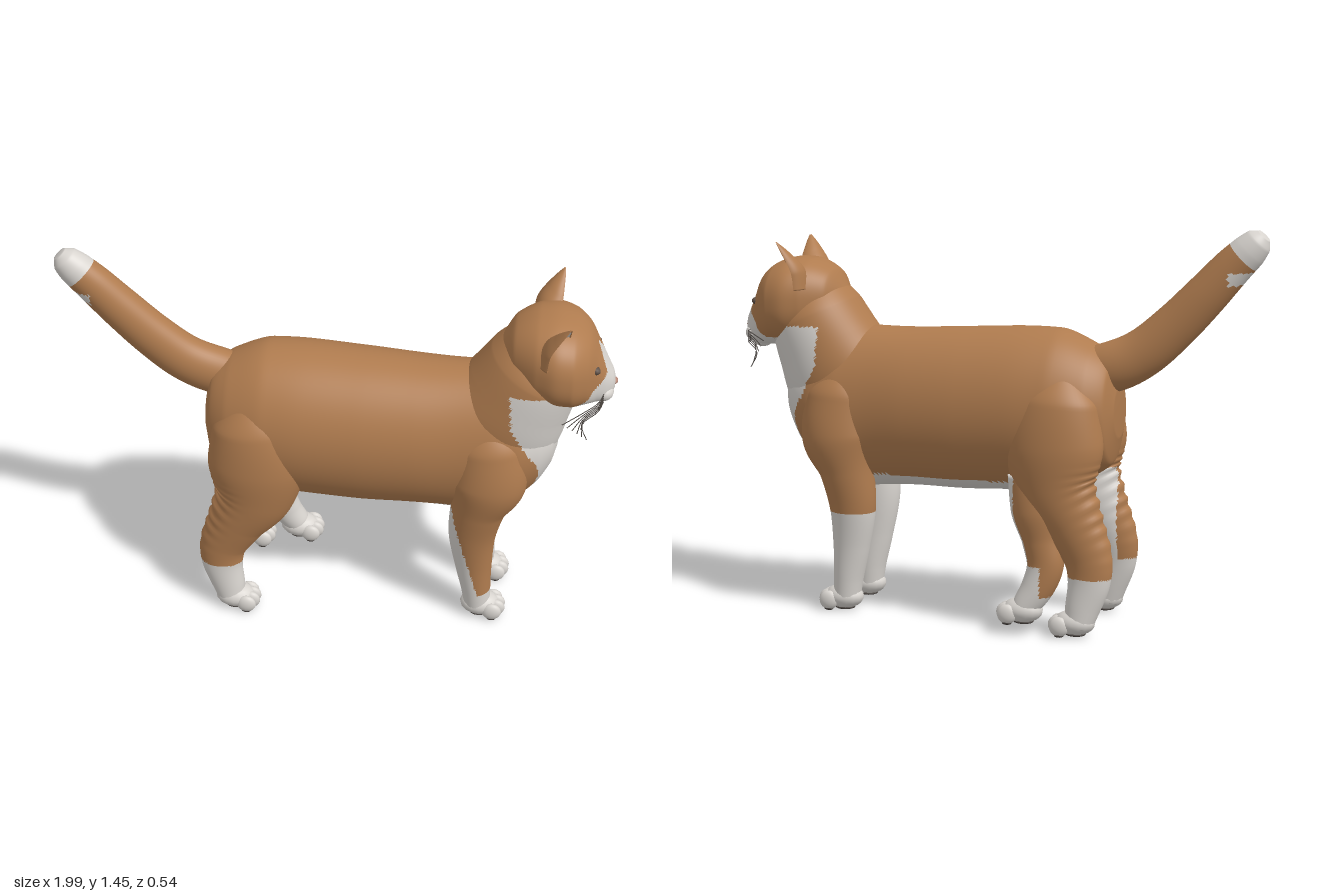
import * as THREE from 'three';

const mat = (name, color) => Object.assign(new THREE.MeshStandardMaterial({ color }), { name });

export function createModel() {
  const cat = new THREE.Group();
  cat.name = 'cat';
  const ginger = mat('ginger fur', 0xb07c4f);
  const white = mat('white fur', 0xd8d4cf);
  const dark = mat('dark detail', 0x46403c);
  const eyeMat = mat('eye', 0x5f5046);
  const noseMat = mat('nose', 0xb48878);
  const palette = [ginger, white, dark];
  const GINGER = 0, WHITE = 1, DARK = 2;

  const add = (name, geometry, material, parent = cat) => {
    const m = new THREE.Mesh(geometry, material);
    m.name = name;
    parent.add(m);
    return m;
  };

  // Smooth skin through stations [x, y, z, radius in the xy plane, radius along z].
  // paint(centroid, angle) picks a palette index. Options: dent hollows one half, ripple adds
  // skin folds, upright keeps rings vertical, square fills out the corners, twist turns the rings.
  function loft(name, stations, paint, options = {}) {
    const { rings = 64, segs = 48, dent = 1, ripple = 0, upright = false, square = 1, twist = 0 } = options;
    const path = new THREE.CatmullRomCurve3(stations.map(s => new THREE.Vector3(s[0], s[1], s[2])));
    const size = new THREE.CatmullRomCurve3(stations.map(s => new THREE.Vector3(s[3], s[4], 0)));
    const soft = v => Math.sign(v) * Math.abs(v) ** square;
    const pos = [];
    for (let i = 0; i <= rings; i++) {
      const t = i / rings, c = path.getPoint(t), r = size.getPoint(t);
      const d = upright ? new THREE.Vector3(1, 0, 0) : path.getTangent(t);
      const len = Math.hypot(d.x, d.y), nx = d.y / len, ny = -d.x / len;
      const fold = 1 + ripple * Math.sin(c.y * 150) * Math.max(0, Math.sin((c.y - 0.24) * 8));
      for (let j = 0; j < segs; j++) {
        const a = (j / segs) * Math.PI * 2;
        const u = soft(Math.cos(a)) * r.x * (Math.cos(a) > 0 ? dent * fold : 1);
        const w = soft(Math.sin(a)) * r.y;
        const n = u * Math.cos(twist) - w * Math.sin(twist);
        pos.push(c.x + nx * n, c.y + ny * n, c.z + u * Math.sin(twist) + w * Math.cos(twist));
      }
    }
    const pole = pos.length / 3;
    pos.push(...path.getPoint(0).toArray(), ...path.getPoint(1).toArray());
    const buckets = palette.map(() => []);
    const p = new THREE.Vector3();
    const tri = (a, b, c, angle) => {
      p.set(0, 0, 0);
      for (const k of [a, b, c]) p.add(new THREE.Vector3().fromArray(pos, k * 3));
      buckets[paint(p.divideScalar(3), angle)].push(a, b, c);
    };
    for (let j = 0; j < segs; j++) {
      const k = (j + 1) % segs, angle = ((j + 0.5) / segs) * Math.PI * 2;
      for (let i = 0; i < rings; i++) {
        const a = i * segs + j, b = i * segs + k;
        tri(a, a + segs, b, angle);
        tri(b, a + segs, b + segs, angle);
      }
      tri(pole, j, k, angle);
      tri(pole + 1, rings * segs + k, rings * segs + j, angle);
    }
    const g = new THREE.BufferGeometry();
    g.setAttribute('position', new THREE.Float32BufferAttribute(pos, 3));
    g.setIndex(buckets.flat());
    let start = 0;
    buckets.forEach((b, i) => { if (b.length) g.addGroup(start, b.length, i); start += b.length; });
    g.computeVertexNormals();
    return add(name, g, palette);
  }

  const ball = (name, x, y, z, sx, sy, sz, material, parent) => {
    const m = add(name, new THREE.SphereGeometry(1, 16, 12).scale(sx, sy, sz), material, parent);
    m.position.set(x, y, z);
    return m;
  };

  // Piecewise linear lookup in [key, value] pairs with rising keys
  const ramp = (table, k) => {
    for (let i = 1; i < table.length; i++) {
      const [k0, v0] = table[i - 1], [k1, v1] = table[i];
      if (k <= k1) return THREE.MathUtils.lerp(v0, v1, Math.max(0, (k - k0) / (k1 - k0)));
    }
    return table[table.length - 1][1];
  };

  // White bib on chest and throat, white belly
  const bibEdge = [[0.5, 0.55], [0.6, 0.64], [0.73, 0.71], [0.82, 0.7], [0.93, 0.64], [1.07, 0.63]];
  const bibWidth = [[0.5, 0.075], [0.6, 0.09], [0.7, 0.13], [0.8, 0.17], [0.9, 0.2], [1, 0.25]];
  const coat = p => {
    if (p.y < 1.07 && p.x > ramp(bibEdge, p.y) && Math.abs(p.z) < ramp(bibWidth, p.y)) return WHITE;
    return p.y < 0.53 && p.x > -0.32 ? WHITE : GINGER;
  };
  loft('torso', [
    [-0.47, 0.79, 0, 0.09, 0.08], [-0.445, 0.79, 0, 0.19, 0.15], [-0.38, 0.79, 0, 0.24, 0.2],
    [-0.25, 0.79, 0, 0.293, 0.238], [-0.1, 0.785, 0, 0.3, 0.247], [0.1, 0.775, 0, 0.3, 0.243],
    [0.3, 0.77, 0, 0.295, 0.23], [0.45, 0.765, 0, 0.3, 0.215], [0.57, 0.76, 0, 0.31, 0.21],
    [0.67, 0.775, 0, 0.25, 0.19], [0.745, 0.79, 0, 0.185, 0.15], [0.79, 0.8, 0, 0.11, 0.1],
    [0.808, 0.8, 0, 0.04, 0.04],
  ], coat, { rings: 110, segs: 72, upright: true });
  loft('neck', [
    [0.52, 0.74, 0, 0.22, 0.14], [0.6, 0.865, 0, 0.226, 0.185], [0.66, 0.985, 0, 0.2, 0.19],
    [0.71, 1.09, 0, 0.178, 0.185], [0.745, 1.16, 0, 0.15, 0.15],
  ], coat, { rings: 80, segs: 72 });

  // Head with a white blaze and muzzle
  const blaze = [[1.02, 0.13], [1.07, 0.115], [1.12, 0.05], [1.17, 0.035], [1.22, 0]];
  loft('head', [
    [0.585, 1.15, 0, 0.05, 0.05], [0.63, 1.155, 0, 0.115, 0.125], [0.71, 1.155, 0, 0.155, 0.18],
    [0.78, 1.15, 0, 0.163, 0.2], [0.84, 1.138, 0, 0.158, 0.188], [0.89, 1.12, 0, 0.14, 0.145],
    [0.925, 1.09, 0, 0.113, 0.098], [0.96, 1.058, 0, 0.077, 0.065], [0.982, 1.048, 0, 0.045, 0.038],
    [0.99, 1.046, 0, 0.02, 0.018],
  ], p => (p.y < 1.02 || (p.x > 0.83 && p.y < 1.22 && Math.abs(p.z) < ramp(blaze, p.y)) ? WHITE : GINGER),
  { rings: 96, segs: 88, upright: true, square: 0.85 });
  ball('nose', 0.984, 1.05, 0, 0.016, 0.013, 0.019, noseMat);
  ball('chin', 0.935, 0.99, 0, 0.035, 0.024, 0.036, white);

  for (const s of [1, -1]) {
    ball('whiskerPad', 0.952, 1.022, s * 0.032, 0.036, 0.032, 0.04, white);
    ball('eye', 0.906, 1.147, s * 0.08, 0.02, 0.018, 0.034, eyeMat).rotation.set(-s * 0.15, s * 0.75, 0);

    // Cupped ear turned outward, white tufts inside over a dark hollow
    const ex = s * 0.018;
    loft('ear', [
      [0.765 + ex, 1.2, s * 0.132, 0.06, 0.078], [0.77 + ex, 1.26, s * 0.14, 0.057, 0.072],
      [0.785 + ex, 1.315, s * 0.163, 0.037, 0.046], [0.797 + ex, 1.355, s * 0.183, 0.018, 0.021],
      [0.803 + ex, 1.378, s * 0.194, 0.004, 0.004],
    ], (p, a) => {
      if (Math.cos(a) < 0.3 || p.y > 1.352) return GINGER;
      return Math.sin(a) * s < 0.1 || Math.sin((p.y + p.x) * 260) > 0.3 ? WHITE : DARK;
    }, { rings: 50, segs: 48, dent: -0.4, twist: s * 0.45 });

    // Whiskers sweep outward, back and down
    for (let i = 0; i < 6; i++) {
      const y = 1.035 - i * 0.008, end = 1.04 - i * 0.022;
      const curve = new THREE.CatmullRomCurve3([
        new THREE.Vector3(0.955, y, s * 0.06), new THREE.Vector3(0.935, y + 0.005, s * 0.13),
        new THREE.Vector3(0.885, (y + end) / 2, s * (0.19 - i * 0.006)),
        new THREE.Vector3(0.815 + i * 0.018, end - 0.02, s * (0.245 - i * 0.014)),
      ]);
      add('whisker', new THREE.TubeGeometry(curve, 14, 0.0016, 5), dark);
    }
    add('mouth', new THREE.TubeGeometry(new THREE.CatmullRomCurve3([
      new THREE.Vector3(0.976, 1.02, 0), new THREE.Vector3(0.972, 1, s * 0.018),
      new THREE.Vector3(0.955, 0.995, s * 0.045),
    ]), 10, 0.0025, 5), dark);
  }

  // Raised tail with a white tip
  loft('tail', [
    [-0.34, 0.935, -0.01, 0.08, 0.07], [-0.45, 0.955, -0.01, 0.092, 0.075], [-0.55, 1.005, 0, 0.088, 0.073],
    [-0.66, 1.1, 0.01, 0.083, 0.07], [-0.77, 1.215, 0.018, 0.077, 0.068], [-0.86, 1.315, 0.025, 0.07, 0.063],
    [-0.92, 1.375, 0.028, 0.063, 0.058], [-0.953, 1.41, 0.03, 0.051, 0.048], [-0.972, 1.43, 0.03, 0.026, 0.026],
  ], p => (p.y - p.x > 2.25 || (p.x < -0.86 && p.y < 1.3 && p.y > 1.255) ? WHITE : GINGER));

  // Paw with toes and dark pads
  function paw(x, y, z) {
    const g = new THREE.Group();
    g.name = 'paw';
    g.position.set(x, y, z);
    cat.add(g);
    ball('foot', -0.012, 0.05, 0, 0.075, 0.046, 0.056, white, g);
    ball('mainPad', -0.015, 0.008, 0, 0.038, 0.008, 0.034, dark, g);
    for (const dz of [-0.042, -0.015, 0.015, 0.042]) {
      const front = 0.054 - Math.abs(dz) * 0.45;
      ball('toe', front, 0.039, dz, 0.037, 0.036, 0.019, white, g);
      ball('toePad', front, 0.007, dz, 0.018, 0.007, 0.012, dark, g);
    }
  }

  for (const s of [1, -1]) {
    // Front legs: one ginger almost to the paw, the other with a long white sock
    loft('frontLeg', [
      [0.56, 0.93, s * 0.1, 0.05, 0.06], [0.565, 0.82, s * 0.118, 0.135, 0.106],
      [0.57, 0.67, s * 0.138, 0.14, 0.107], [0.54, 0.53, s * 0.13, 0.102, 0.092],
      [0.523, 0.4, s * 0.122, 0.088, 0.077], [0.532, 0.25, s * 0.115, 0.07, 0.063],
      [0.547, 0.12, s * 0.112, 0.055, 0.057], [0.555, 0.04, s * 0.112, 0.05, 0.052],
    ], p => {
      if (p.y < (s > 0 ? 0.125 : 0.38)) return WHITE;
      if (p.y < 0.6 && Math.abs(p.z) < 0.068) return WHITE;
      return s > 0 && p.y < 0.55 && p.x < 0.44 + (0.55 - p.y) * 0.27 ? WHITE : GINGER;
    }, { rings: 90 });
    paw(0.577, 0, s * 0.112);

    // Hind legs with loose folds behind the thigh
    loft('hindLeg', [
      [-0.29, 0.96, s * 0.12, 0.05, 0.05], [-0.28, 0.84, s * 0.145, 0.15, 0.107],
      [-0.27, 0.68, s * 0.157, 0.18, 0.115], [-0.285, 0.53, s * 0.162, 0.148, 0.1],
      [-0.35, 0.4, s * 0.165, 0.11, 0.082], [-0.405, 0.28, s * 0.172, 0.088, 0.062],
      [-0.41, 0.2, s * 0.178, 0.078, 0.054], [-0.388, 0.1, s * 0.185, 0.063, 0.052],
      [-0.375, 0.04, s * 0.19, 0.052, 0.05],
    ], p => (p.y < 0.215 || (p.y < 0.56 && p.x > -0.43 && Math.abs(p.z) < 0.145) ? WHITE : GINGER),
    { rings: 110, ripple: 0.05 });
    paw(-0.35, 0, s * 0.19);
  }

  // Extra hind leg stepping forward
  loft('steppingHindLeg', [
    [-0.2, 0.58, -0.16, 0.1, 0.07], [-0.215, 0.45, -0.166, 0.1, 0.08], [-0.235, 0.34, -0.176, 0.075, 0.064],
    [-0.25, 0.25, -0.188, 0.067, 0.055], [-0.225, 0.17, -0.198, 0.06, 0.052], [-0.185, 0.105, -0.206, 0.05, 0.05],
    [-0.165, 0.075, -0.21, 0.04, 0.045],
  ], p => (p.y > 0.14 && (p.x < -0.245 || (p.z < -0.215 && p.y > 0.25)) ? GINGER : WHITE));
  paw(-0.16, 0.035, -0.208);

  return cat;
}
